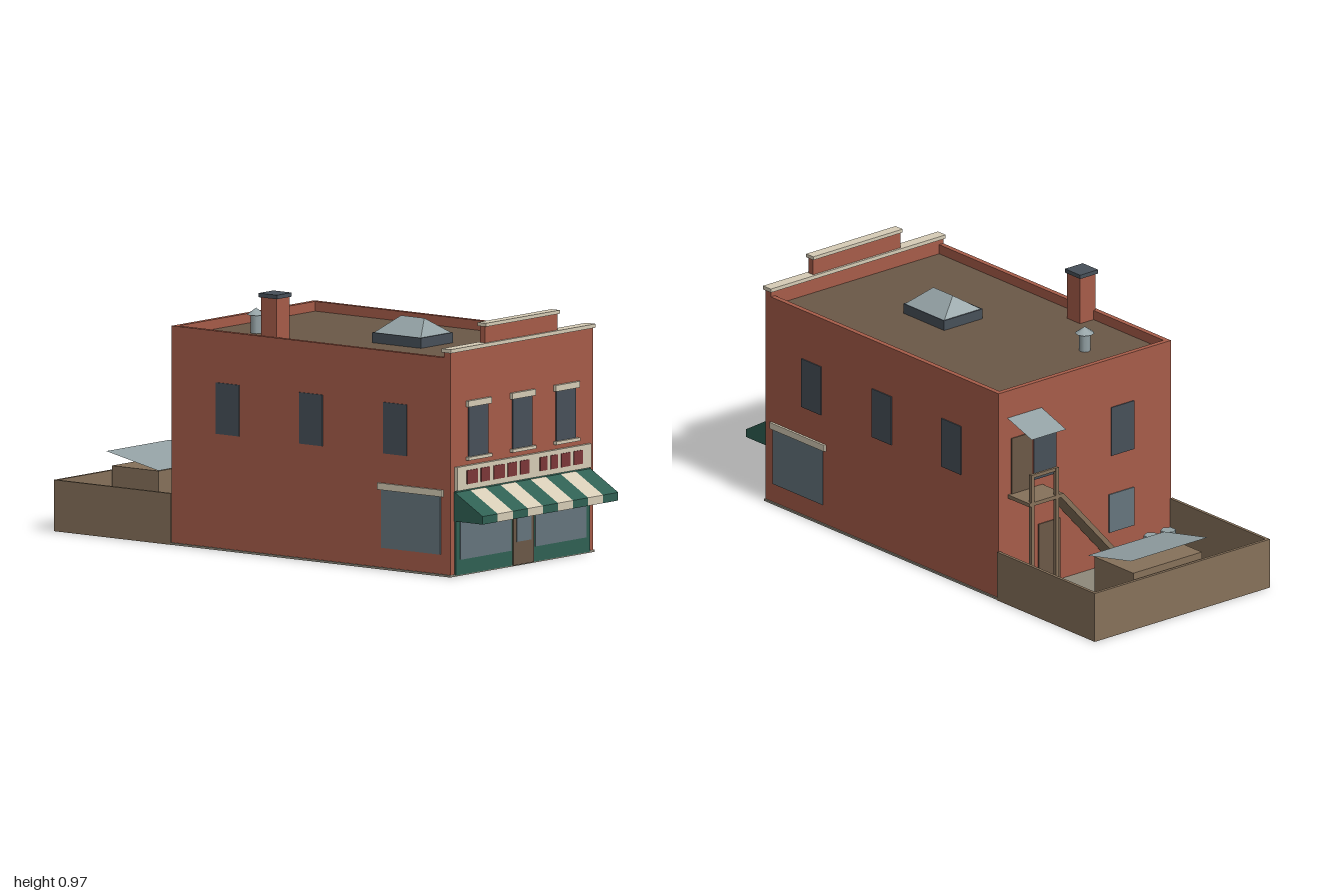
import * as THREE from 'three';
import { ConvexGeometry } from 'three/addons/geometries/ConvexGeometry.js';

const colours = {
  brick: 0xa65c49, cream: 0xd6ccb6, green: 0x2f6053, red: 0x7c3738, brown: 0x6b5847,
  slate: 0x475059, glass: 0x65757d, metal: 0x93a1a4, timber: 0x86715a, concrete: 0x8e897b,
};

export function createModel() {
  const model = new THREE.Group();
  model.name = 'cornerShop';
  const mats = {};
  for (const [name, color] of Object.entries(colours)) {
    mats[name] = new THREE.MeshStandardMaterial({ color });
    mats[name].name = name;
  }
  const sheetMetal = mats.metal;
  sheetMetal.side = THREE.DoubleSide;

  const add = (name, mat, geo) => {
    const mesh = new THREE.Mesh(geo, mats[mat]);
    mesh.name = name;
    model.add(mesh);
    return mesh;
  };
  // Box given by its limits on each axis
  const box = (name, mat, x0, x1, y0, y1, z0, z1) => {
    const mesh = add(name, mat, new THREE.BoxGeometry(x1 - x0, y1 - y0, z1 - z0));
    mesh.position.set((x0 + x1) / 2, (y0 + y1) / 2, (z0 + z1) / 2);
    return mesh;
  };

  const W = 0.415, BACK = -0.45, FRONT = 0.865, ROOF = 0.77, TOP = 0.81;

  // Ground slab, main block and flat roof
  box('groundSlab', 'concrete', -0.42, 0.42, 0, 0.008, -0.995, 0.868);
  box('mainBlock', 'brick', -W, W, 0.008, ROOF, BACK, FRONT);
  box('roofDeck', 'brown', -W + 0.02, W - 0.02, ROOF, ROOF + 0.004, BACK + 0.02, 0.835);

  // Parapets, cornice and raised centre
  for (const s of [-1, 1]) {
    const a = s * W, b = s * (W - 0.02);
    box('sideParapet', 'brick', Math.min(a, b), Math.max(a, b), ROOF, TOP, BACK, 0.835);
  }
  box('backParapet', 'brick', -W + 0.02, W - 0.02, ROOF, TOP, BACK, BACK + 0.02);
  box('frontParapet', 'brick', -W, W, ROOF, 0.83, 0.835, FRONT);
  box('cornice', 'cream', -0.421, 0.421, 0.83, 0.844, 0.828, 0.872);
  box('raisedCentre', 'brick', -0.21, 0.21, 0.844, 0.905, 0.837, 0.862);
  box('raisedCentreCap', 'cream', -0.215, 0.215, 0.905, 0.918, 0.83, 0.87);

  // Upper front windows
  for (const x of [-0.256, 0, 0.254]) {
    box('frontWindow', 'slate', x - 0.057, x + 0.057, 0.435, 0.62, FRONT, FRONT + 0.004);
    box('windowLintel', 'cream', x - 0.069, x + 0.069, 0.62, 0.643, FRONT, FRONT + 0.012);
    box('windowSill', 'cream', x - 0.069, x + 0.069, 0.423, 0.435, FRONT, FRONT + 0.014);
  }

  // Sign board with coloured blocks
  box('signBoard', 'cream', -0.39, 0.39, 0.317, 0.405, FRONT, 0.878);
  const blocks = [[-0.337, 0.062], [-0.255, 0.051], [-0.181, 0.062], [-0.099, 0.052], [-0.027, 0.051],
    [0.088, 0.041], [0.15, 0.041], [0.211, 0.052], [0.283, 0.052]];
  for (const [x, w] of blocks) box('signBlock', 'red', x, x + w, 0.337, 0.388, 0.878, 0.881);

  // Shop front
  box('shopFront', 'green', -0.39, 0.39, 0.004, 0.317, FRONT, 0.87);
  for (const x of [-0.365, 0.07]) box('shopWindow', 'glass', x, x + 0.295, 0.06, 0.27, 0.87, 0.873);
  box('shopDoor', 'brown', -0.06, 0.06, 0.004, 0.27, 0.87, 0.874);
  box('shopDoorGlass', 'glass', -0.042, 0.042, 0.09, 0.25, 0.874, 0.877);

  // Striped awning, one slice for each stripe
  const profile = new THREE.Shape([[FRONT, 0.205], [1, 0.205], [1, 0.235], [FRONT, 0.314]]
    .map(([z, y]) => new THREE.Vector2(z, y)));
  const stripe = 0.788 / 9;
  for (let i = 0; i < 9; i++) {
    const geo = new THREE.ExtrudeGeometry(profile, { depth: stripe, bevelEnabled: false });
    geo.rotateY(-Math.PI / 2).translate(-0.394 + (i + 1) * stripe, 0, 0);
    add('awningStripe', i % 2 ? 'cream' : 'green', geo);
  }

  // Windows on both side walls
  for (const s of [-1, 1]) {
    const onWall = (name, mat, depth, y0, y1, z0, z1) => {
      const a = s * W, b = s * (W + depth);
      box(name, mat, Math.min(a, b), Math.max(a, b), y0, y1, z0, z1);
    };
    for (const z of [0.605, 0.208, -0.185]) onWall('sideWindow', 'slate', 0.004, 0.43, 0.62, z - 0.055, z + 0.055);
    onWall('sideDisplayWindow', 'glass', 0.004, 0.08, 0.295, 0.54, 0.82);
    onWall('sideDisplayLintel', 'cream', 0.009, 0.295, 0.32, 0.525, 0.832);
  }

  // Chimney
  box('chimney', 'brick', -0.405, -0.33, ROOF, 0.953, -0.036, 0.036);
  box('chimneyCap', 'slate', -0.411, -0.325, 0.953, 0.968, -0.043, 0.043);

  // Skylight with hipped glazing
  box('skylightCurb', 'slate', -0.093, 0.093, ROOF, 0.812, 0.235, 0.465);
  const hip = [[-0.088, 0.812, 0.24], [0.088, 0.812, 0.24], [-0.088, 0.812, 0.46], [0.088, 0.812, 0.46],
    [0, 0.87, 0.295], [0, 0.87, 0.405]].map((p) => new THREE.Vector3(...p));
  add('skylightGlazing', 'metal', new ConvexGeometry(hip));

  // Roof vent
  add('ventPipe', 'metal', new THREE.CylinderGeometry(0.021, 0.021, 0.075, 8)).position.set(-0.17, 0.807, -0.25);
  add('ventHood', 'metal', new THREE.ConeGeometry(0.036, 0.025, 8)).position.set(-0.17, 0.855, -0.25);

  // Back doors and windows
  const onBack = (name, mat, x0, x1, y0, y1) => box(name, mat, x0, x1, y0, y1, BACK - 0.004, BACK);
  onBack('upperBackDoor', 'brown', 0.255, 0.355, 0.4, 0.62);
  onBack('lowerBackDoor', 'brown', 0.12, 0.225, 0.01, 0.25);
  onBack('upperBackWindow', 'slate', 0.14, 0.248, 0.43, 0.62);
  onBack('upperBackWindow', 'slate', -0.235, -0.126, 0.43, 0.62);
  onBack('lowerBackWindow', 'glass', -0.235, -0.115, 0.13, 0.28);

  // Sloping sheet, given its x limits and its y and z at both ends
  const sheet = (name, x0, x1, ya, za, yb, zb) => {
    const geo = new THREE.PlaneGeometry(x1 - x0, Math.hypot(yb - ya, zb - za));
    geo.rotateX(-Math.PI / 2);
    const mesh = add(name, 'metal', geo);
    mesh.rotation.x = Math.atan2(ya - yb, zb - za);
    mesh.position.set((x0 + x1) / 2, (ya + yb) / 2, (za + zb) / 2);
  };
  sheet('backDoorCanopy', 0.21, 0.375, 0.66, -0.59, 0.705, -0.452);

  // Landing, posts, rail and stair
  box('landing', 'timber', 0.205, 0.37, 0.388, 0.402, -0.57, BACK);
  for (const x of [0.235, 0.352]) box('landingPost', 'timber', x - 0.007, x + 0.007, 0.008, 0.51, -0.57, -0.556);
  box('landingRail', 'timber', 0.228, 0.359, 0.497, 0.51, -0.568, -0.558);
  const stair = add('stair', 'timber', new THREE.BoxGeometry(0.515, 0.018, 0.105));
  stair.position.set(0.038, 0.203, -0.517);
  stair.rotation.z = Math.atan2(0.385, 0.345);

  // Walled yard
  for (const x of [-0.422, 0.41]) box('yardSideWall', 'timber', x, x + 0.012, 0, 0.19, -1, BACK);
  box('yardBackWall', 'timber', -0.41, 0.41, 0, 0.19, -1, -0.988);

  // Yard store, crate and bins
  box('yardStore', 'timber', -0.115, 0.215, 0.008, 0.21, -0.975, -0.755);
  sheet('yardStoreRoof', -0.135, 0.235, 0.265, -0.985, 0.215, -0.74);
  box('crate', 'timber', 0.25, 0.355, 0.008, 0.11, -0.95, -0.845);
  for (const x of [-0.352, -0.272]) {
    add('bin', 'metal', new THREE.CylinderGeometry(0.029, 0.029, 0.09, 6)).position.set(x, 0.053, -0.507);
  }
  return model;
}
